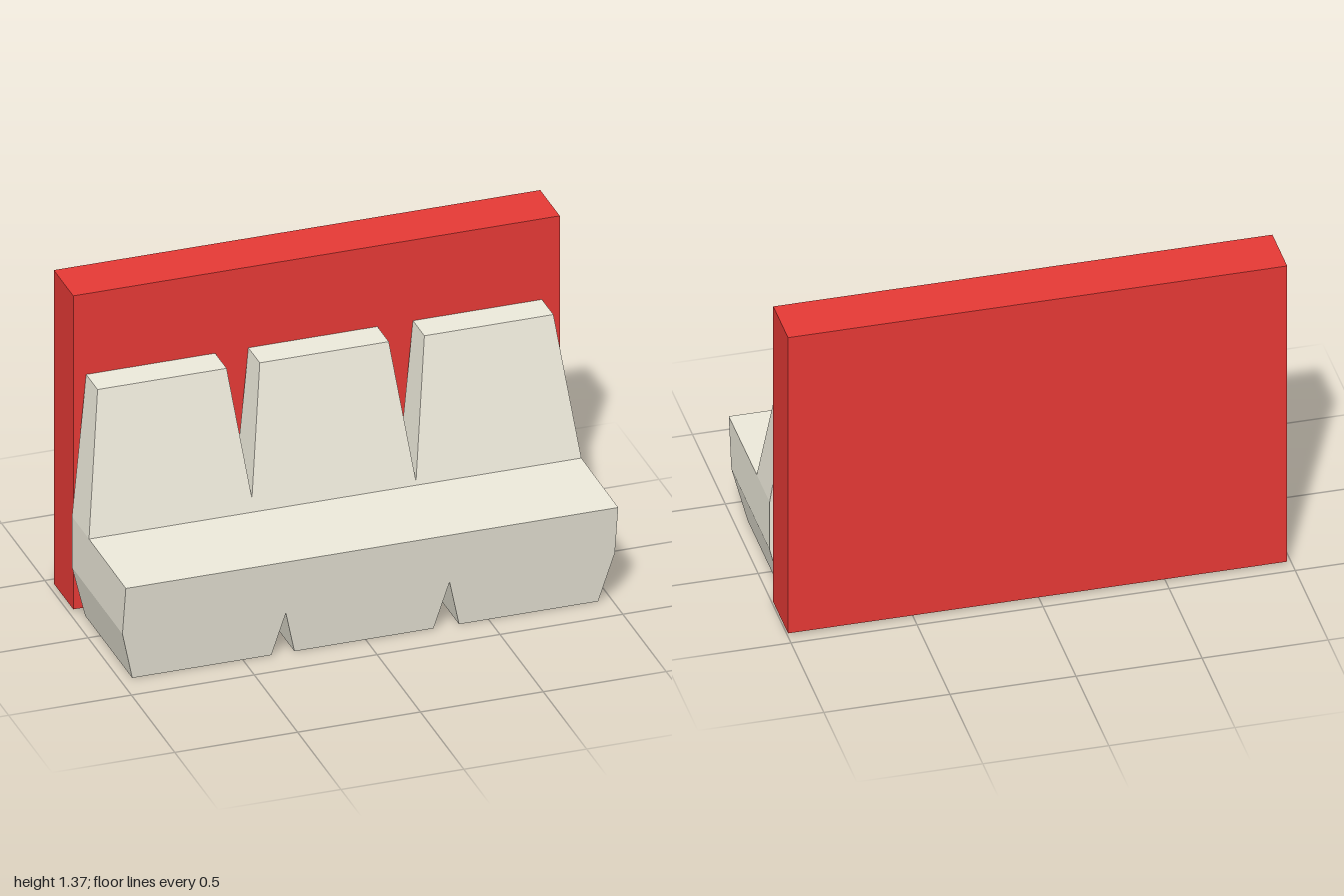
import * as THREE from 'three';

// Seat cross-sections from the floor up: [y, half width, front z, back z]
const SECTIONS = [
  [0, 0.283, 0.368, -0.175],
  [0.22, 0.337, 0.408, -0.175],
  [0.437, 0.337, 0.447, -0.175],
  [0.44, 0.337, 0.022, -0.175],
  [1.02, 0.2625, -0.09, -0.222],
];

// Closed, faceted solid lofted through rectangular cross-sections
function loft(sections) {
  const rings = sections.map(([y, w, front, back]) => [
    [-w, y, front], [w, y, front], [w, y, back], [-w, y, back],
  ]);
  const positions = [];
  const quad = (a, b, c, d) => positions.push(...a, ...b, ...c, ...a, ...c, ...d);
  for (let k = 0; k < rings.length - 1; k++) {
    for (let i = 0; i < 4; i++) {
      const j = (i + 1) % 4;
      quad(rings[k][i], rings[k][j], rings[k + 1][j], rings[k + 1][i]);
    }
  }
  quad(...[...rings[0]].reverse());
  quad(...rings[rings.length - 1]);
  const geometry = new THREE.BufferGeometry();
  geometry.setAttribute('position', new THREE.Float32BufferAttribute(positions, 3));
  geometry.computeVertexNormals();
  return geometry;
}

export function createModel() {
  const model = new THREE.Group();
  model.name = 'threeSeatBench';

  // Row of three tapered seats
  const cream = new THREE.MeshStandardMaterial({ color: 0xece9da, flatShading: true });
  const seatGeometry = loft(SECTIONS);
  const seats = new THREE.Group();
  seats.name = 'seats';
  [['rightSeat', -0.667], ['middleSeat', -0.007], ['leftSeat', 0.663]].forEach(([name, x]) => {
    const seat = new THREE.Mesh(seatGeometry, cream);
    seat.name = name;
    seat.position.x = x;
    seats.add(seat);
  });
  model.add(seats);

  // Tall panel behind the seats
  const red = new THREE.MeshStandardMaterial({ color: 0xe53935, flatShading: true });
  const panel = new THREE.Mesh(new THREE.BoxGeometry(1.98, 1.36, 0.225), red);
  panel.name = 'backPanel';
  panel.position.set(0.008, 0.69, -0.3345);
  model.add(panel);

  return model;
}
